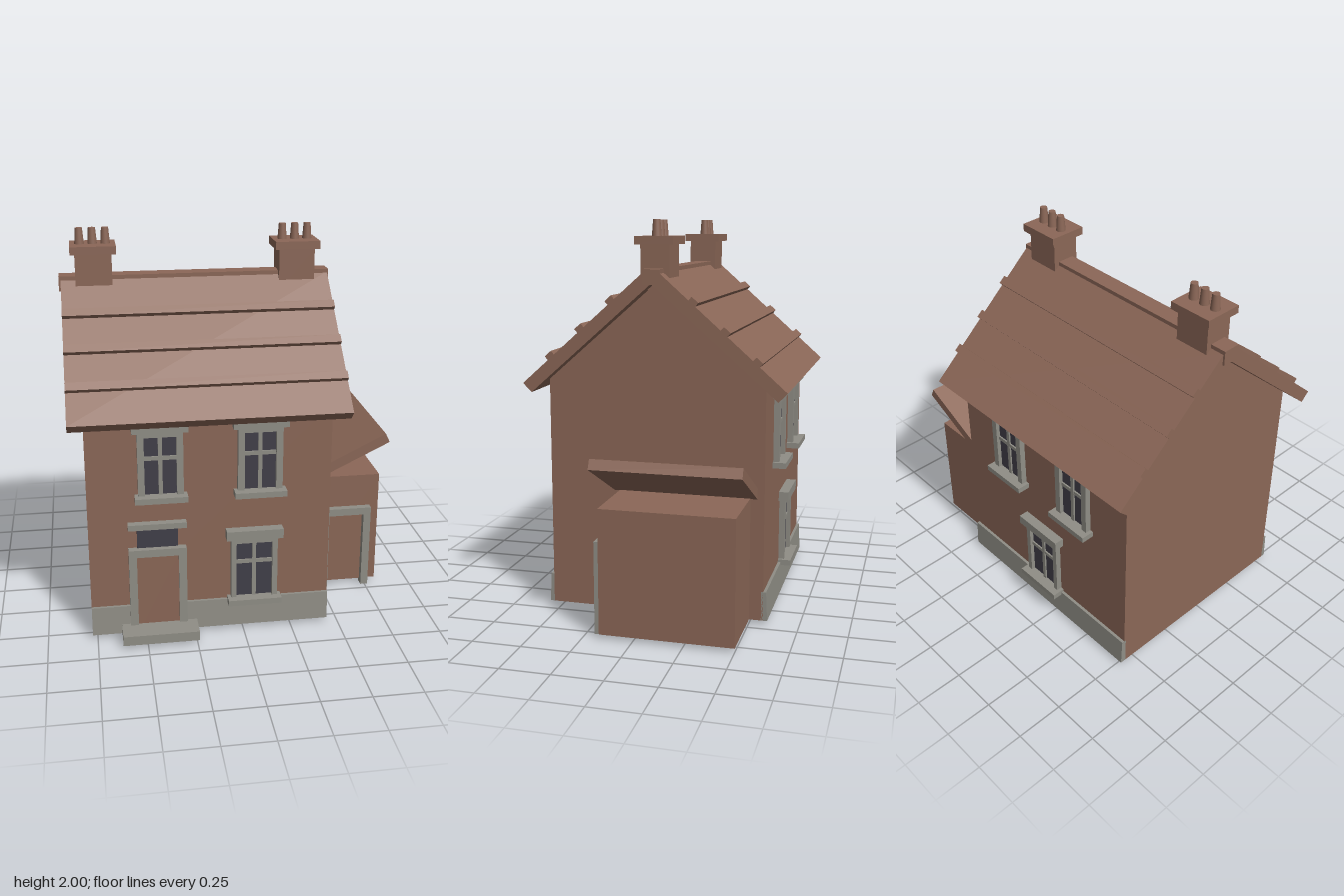
import * as THREE from 'three';

const material = (name, color) => {
  const m = new THREE.MeshStandardMaterial({ color });
  m.name = name;
  return m;
};

export function createModel() {
  const house = new THREE.Group();
  house.name = 'house';
  const brick = material('brick', 0x8b6757);
  const stone = material('stone', 0x908e86);
  const glass = material('glass', 0x413f49);

  const add = (parent, name, geometry, mat) => {
    const mesh = new THREE.Mesh(geometry, mat);
    mesh.name = name;
    parent.add(mesh);
    return mesh;
  };
  // Box given by its limits on each axis
  const box = (parent, name, mat, x0, x1, y0, y1, z0, z1) => {
    const mesh = add(parent, name, new THREE.BoxGeometry(x1 - x0, y1 - y0, z1 - z0), mat);
    mesh.position.set((x0 + x1) / 2, (y0 + y1) / 2, (z0 + z1) / 2);
    return mesh;
  };
  // Profile of [z, y] points, extruded along x
  const prism = (parent, name, mat, points, x0, x1) => {
    const shape = new THREE.Shape(points.map(([z, y]) => new THREE.Vector2(z, y)));
    const g = new THREE.ExtrudeGeometry(shape, { depth: x1 - x0, bevelEnabled: false });
    g.rotateY(-Math.PI / 2).translate(x1, 0, 0);
    return add(parent, name, g, mat);
  };

  // Main walls, gables and stone base courses
  const L = -0.775, R = 0.445, FRONT = 0.54, BACK = -0.57, MID = -0.015;
  box(house, 'walls', brick, L, R, 0.02, 1.205, BACK, FRONT);
  prism(house, 'gables', brick, [[FRONT, 1.205], [MID, 1.69], [BACK, 1.205]], L, R);
  prism(house, 'frontBaseCourse', stone,
    [[0.53, 0.02], [0.562, 0.02], [0.555, 0.17], [0.53, 0.17]], L, R);
  prism(house, 'backBaseCourse', stone,
    [[-0.56, 0.02], [-0.592, 0.02], [-0.585, 0.17], [-0.56, 0.17]], L, R);

  // Roof with overhanging eaves and a boxed ridge
  const roof = new THREE.Group();
  roof.name = 'roof';
  house.add(roof);
  prism(roof, 'roofSlopes', brick, [[0.655, 1.19], [0.024, 1.75], [-0.054, 1.75],
    [-0.685, 1.19], [-0.64, 1.145], [MID, 1.695], [0.61, 1.145]], -0.85, 0.52);
  box(roof, 'ridge', brick, -0.86, 0.525, 1.69, 1.765, -0.06, 0.03);

  // Three raised battens on each slope
  for (const z of [0.187, 0.345, 0.503]) {
    const y = 1.19 + (0.655 - z) * 0.887;
    const corner = (t, n) => [z - 0.748 * t + 0.663 * n, y + 0.663 * t + 0.748 * n];
    const front = [corner(-0.022, -0.01), corner(-0.022, 0.024), corner(0.022, 0.024), corner(0.022, -0.01)];
    prism(roof, 'frontBatten', brick, front, -0.85, 0.52);
    prism(roof, 'backBatten', brick, front.map(([a, b]) => [2 * MID - a, b]), -0.85, 0.52);
  }

  // Chimneys, each with three pots
  for (const x of [-0.684, 0.353]) {
    const chimney = new THREE.Group();
    chimney.name = 'chimney';
    chimney.position.set(x, 0, MID);
    house.add(chimney);
    box(chimney, 'chimneyStack', brick, -0.092, 0.092, 1.66, 1.88, -0.073, 0.073);
    box(chimney, 'chimneyCap', brick, -0.115, 0.115, 1.88, 1.92, -0.098, 0.098);
    for (const dx of [-0.065, 0, 0.065]) {
      add(chimney, 'chimneyPot', new THREE.CylinderGeometry(0.018, 0.024, 0.08, 20), brick)
        .position.set(dx, 1.96, -0.003);
    }
  }

  // Window: glass, frame, glazing bars, lintel and sill, facing local +z
  const addWindow = (x, y0, y1, half, rim, back, barY) => {
    const w = new THREE.Group();
    w.name = 'window';
    w.position.set(x, 0, back ? BACK : FRONT);
    if (back) w.rotation.y = Math.PI;
    house.add(w);
    const inner = half - rim, top = y1 - 0.028;
    box(w, 'pane', glass, -inner, inner, y0, top, 0, 0.009);
    for (const s of [-1, 1]) {
      const a = s * half, b = s * inner;
      box(w, 'frameSide', stone, Math.min(a, b), Math.max(a, b), y0, y1, -0.01, 0.03);
    }
    box(w, 'frameTop', stone, -inner, inner, top, y1, -0.01, 0.03);
    box(w, 'mullion', stone, -0.01, 0.01, y0, top, 0, 0.018);
    box(w, 'transomBar', stone, -inner, inner, barY - 0.01, barY + 0.01, 0, 0.017);
    box(w, 'lintel', stone, -half - 0.025, half + 0.025, y1, y1 + 0.05, -0.01, 0.052);
    box(w, 'sill', stone, -half - 0.018, half + 0.018, y0 - 0.03, y0, -0.01, 0.068);
  };
  for (const back of [false, true]) {
    for (const x of [-0.411, 0.082]) addWindow(x, 0.78, 1.11, 0.112, 0.033, back, 0.97);
    addWindow(back ? -0.165 : 0.056, 0.185, 0.515, 0.119, 0.027, back, 0.38);
  }

  // Stone door surround with a recessed panel
  const addDoor = (name, x0, x1, top, z, panelDepth) => {
    const d = new THREE.Group();
    d.name = name;
    house.add(d);
    box(d, 'doorPanel', brick, x0 + 0.04, x1 - 0.04, 0.02, top - 0.04, z - 0.01, z + panelDepth);
    box(d, 'leftJamb', stone, x1 - 0.04, x1, 0, top, z - 0.01, z + 0.038);
    box(d, 'rightJamb', stone, x0, x0 + 0.04, 0, top, z - 0.01, z + 0.038);
    box(d, 'doorHead', stone, x0 + 0.04, x1 - 0.04, top - 0.04, top, z - 0.01, z + 0.038);
  };
  addDoor('frontDoor', -0.58, -0.29, 0.49, FRONT, 0.024);
  box(house, 'fanlight', glass, -0.535, -0.33, 0.49, 0.6, FRONT, FRONT + 0.009);
  box(house, 'fanlightLintel', stone, -0.58, -0.288, 0.6, 0.63, FRONT - 0.01, FRONT + 0.04);
  box(house, 'doorStep', stone, -0.625, -0.24, 0.02, 0.07, FRONT, 0.685);

  // Side outhouse with its raised lean-to roof
  box(house, 'outhouseWalls', brick, R, 0.815, 0.02, 0.65, -0.5, 0.17);
  addDoor('outhouseDoor', 0.495, 0.767, 0.47, 0.17, 0.004);
  const slab = new THREE.Shape([[0.44, 0.643], [0.855, 0.847], [0.832, 0.895], [0.44, 0.7]]
    .map(([x, y]) => new THREE.Vector2(x, y)));
  add(house, 'outhouseRoof',
    new THREE.ExtrudeGeometry(slab, { depth: 0.735, bevelEnabled: false }).translate(0, 0, -0.535), brick);

  return house;
}
